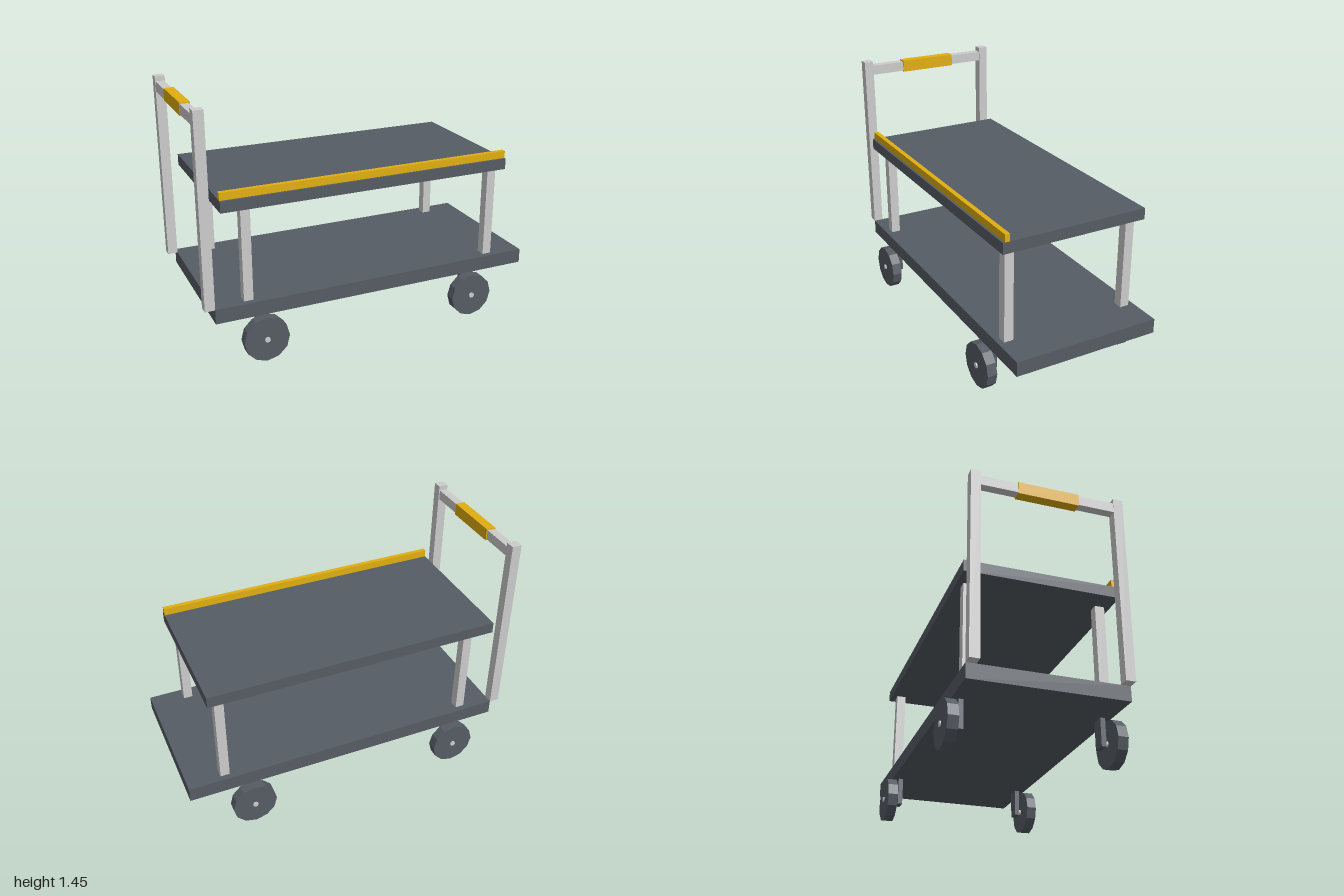
import * as THREE from 'three';

const mat = (color) => new THREE.MeshStandardMaterial({ color, flatShading: true });

export function createModel() {
  const cart = new THREE.Group();
  cart.name = 'platformCart';
  const steel = mat(0xcccccc);
  const slate = mat(0x565c64);
  const yellow = mat(0xe0ae10);

  // Box given by its extents along each axis
  function box(name, material, [x0, x1], [y0, y1], [z0, z1]) {
    const mesh = new THREE.Mesh(new THREE.BoxGeometry(x1 - x0, y1 - y0, z1 - z0), material);
    mesh.position.set((x0 + x1) / 2, (y0 + y1) / 2, (z0 + z1) / 2);
    mesh.name = name;
    cart.add(mesh);
  }

  // Cylinder lying along z
  function disc(name, material, radius, sides, x, y, [z0, z1]) {
    const geometry = new THREE.CylinderGeometry(radius, radius, z1 - z0, sides).rotateX(Math.PI / 2);
    const mesh = new THREE.Mesh(geometry, material);
    mesh.position.set(x, y, (z0 + z1) / 2);
    mesh.name = name;
    cart.add(mesh);
  }

  // Decks and the lip along the front edge of the shelf
  box('lowerDeck', slate, [-0.943, 1], [0.265, 0.35], [-0.436, 0.436]);
  box('upperShelf', slate, [-0.887, 0.85], [0.895, 0.96], [-0.436, 0.436]);
  box('shelfLip', yellow, [-0.887, 0.85], [0.96, 1.003], [0.395, 0.423]);

  // Push handle crossbar with grip
  box('handleBar', steel, [-0.998, -0.949], [1.366, 1.424], [-0.381, 0.381]);
  box('handleGrip', yellow, [-1, -0.943], [1.36, 1.431], [-0.174, 0.174]);

  for (const side of [-1, 1]) {
    // Mirrors a depth range to the front or back
    const range = (a, b) => (side > 0 ? [a, b] : [-b, -a]);

    box('handleUpright', steel, [-1, -0.943], [0.35, 1.452], range(0.381, 0.437));

    for (const x of [-0.744, 0.779]) {
      box('shelfPost', steel, [x - 0.027, x + 0.027], [0.35, 0.895], range(0.347, 0.402));
    }

    // Caster plate, axle and wheel
    for (const x of [-0.67, 0.635]) {
      box('wheelBracket', slate, [x - 0.036, x + 0.036], [0.105, 0.265], range(0.372, 0.4));
      disc('axle', steel, 0.016, 10, x, 0.132, range(0.385, 0.487));
      disc('wheel', slate, 0.132, 12, x, 0.132, range(0.421, 0.479));
    }
  }

  return cart;
}
